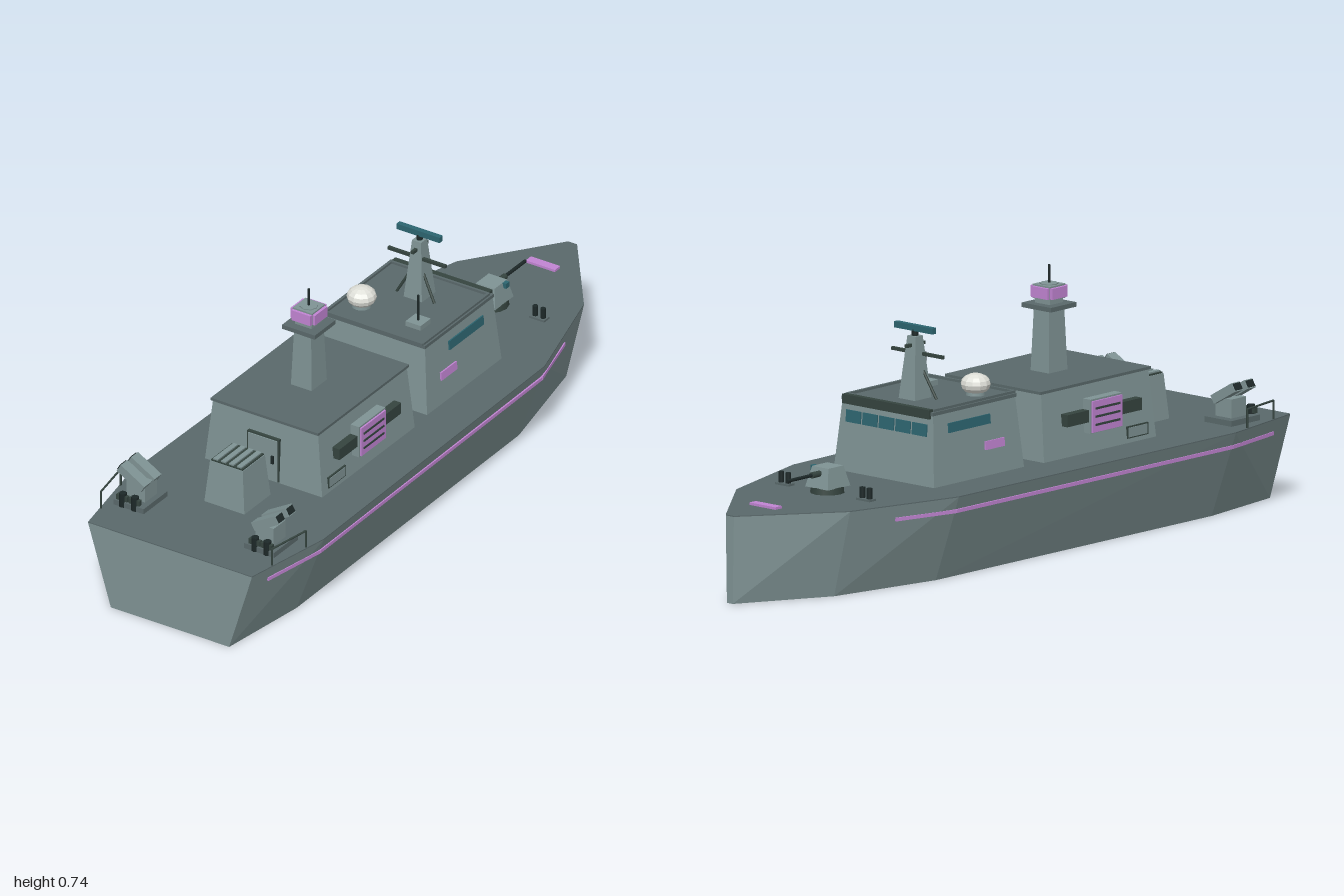
import * as THREE from 'three';
import { ConvexGeometry } from 'three/addons/geometries/ConvexGeometry.js';

const paint = (name, color) => Object.assign(new THREE.MeshStandardMaterial({ color }), { name });
const DECK = 0.248;

export function createModel() {
  const hullGrey = paint('hullGrey', 0x7f9394);
  const deckGrey = paint('deckGrey', 0x5a696b);
  const darkGrey = paint('darkGrey', 0x35443f);
  const black = paint('nearBlack', 0x1d2828);
  const violet = paint('violet', 0xc184d2);
  const teal = paint('teal', 0x2d6570);
  const white = paint('domeWhite', 0xdedfd8);
  const ship = new THREE.Group();
  ship.name = 'patrolShip';

  const add = (name, geo, mat, x = 0, y = 0, z = 0, parent = ship) => {
    const m = new THREE.Mesh(geo, mat);
    m.name = name;
    m.position.set(x, y, z);
    parent.add(m);
    return m;
  };
  const box = (name, mat, w, h, d, x, y, z, parent) =>
    add(name, new THREE.BoxGeometry(w, h, d), mat, x, y, z, parent);
  // Box standing on y, narrowing towards its top
  const taper = (name, mat, w, d, w2, d2, h, x, y, z, parent) => {
    const g = new THREE.BoxGeometry(w, h, d);
    const p = g.attributes.position;
    for (let i = 0; i < p.count; i++) {
      if (p.getY(i) > 0) p.setXYZ(i, p.getX(i) * w2 / w, h / 2, p.getZ(i) * d2 / d);
    }
    g.computeVertexNormals();
    return add(name, g, mat, x, y + h / 2, z, parent);
  };
  // Round bar between two points
  const rod = (name, mat, a, b, r, parent, sides = 8) => {
    const A = new THREE.Vector3(...a), B = new THREE.Vector3(...b);
    const m = add(name, new THREE.CylinderGeometry(r, r, A.distanceTo(B), sides), mat, 0, 0, 0, parent);
    m.position.lerpVectors(A, B, 0.5);
    m.quaternion.setFromUnitVectors(new THREE.Vector3(0, 1, 0), B.sub(A).normalize());
    return m;
  };

  // Hull: deck outline with a narrower copy at the keel
  const outline = [[0.015, -1], [0.21, -0.74], [0.306, -0.4], [0.321, 0.72], [0.27, 1]];
  const points = [];
  for (const [x, z] of outline) {
    for (const s of [1, -1]) {
      points.push(new THREE.Vector3(s * x, DECK - 0.003, z), new THREE.Vector3(s * x * 0.722, 0, z));
    }
  }
  add('hull', new ConvexGeometry(points), hullGrey);
  const edge = [...outline, ...outline.map(([x, z]) => [-x, z]).reverse()];
  const deckShape = new THREE.Shape(edge.map(([x, z]) => new THREE.Vector2(x, z)));
  const deckGeo = new THREE.ExtrudeGeometry(deckShape, { depth: 0.003, bevelEnabled: false });
  add('deck', deckGeo.rotateX(Math.PI / 2), deckGrey, 0, DECK, 0);

  // Rubbing strake on both sides
  const strake = [[0.268, 0.925], [0.304, 0.72], [0.291, -0.4], [0.24, -0.59]];
  for (const s of [1, -1]) {
    for (let i = 0; i < 3; i++) {
      const [x0, z0] = strake[i], [x1, z1] = strake[i + 1];
      const m = box('sideStripe', violet, 0.016, 0.01, Math.hypot(x1 - x0, z1 - z0),
        s * (x0 + x1) / 2, 0.205, (z0 + z1) / 2);
      m.rotation.y = Math.atan2(s * (x0 - x1), z0 - z1);
    }
  }
  box('bowMarking', violet, 0.096, 0.008, 0.026, 0, DECK + 0.003, -0.853);

  // Bridge
  taper('bridge', hullGrey, 0.37, 0.37, 0.334, 0.336, 0.2, 0, DECK, -0.183);
  box('bridgeRoof', deckGrey, 0.338, 0.01, 0.342, 0, 0.45, -0.183);
  box('bridgeVisor', darkGrey, 0.32, 0.026, 0.018, 0, 0.449, -0.352);
  for (const z of [-0.012, -0.34]) box('bridgeRoofRim', deckGrey, 0.326, 0.008, 0.008, 0, 0.458, z);
  for (const s of [1, -1]) {
    box('bridgeRoofRim', deckGrey, 0.008, 0.008, 0.33, s * 0.16, 0.458, -0.177);
    const glass = box('sideWindow', teal, 0.008, 0.027, 0.17, s * 0.1715, 0.403, -0.21);
    const plate = box('sideMarking', violet, 0.009, 0.024, 0.078, s * 0.178, 0.331, -0.113);
    glass.rotation.z = plate.rotation.z = s * 0.09;
  }
  for (let i = -2; i <= 2; i++) {
    box('bridgeWindow', teal, 0.054, 0.034, 0.008, i * 0.061, 0.402, -0.3545).rotation.x = 0.085;
  }

  // Fore mast with radar
  const foreMast = new THREE.Group();
  foreMast.name = 'foreMast';
  foreMast.position.set(0, 0.455, -0.24);
  ship.add(foreMast);
  taper('mastTower', hullGrey, 0.06, 0.068, 0.03, 0.03, 0.175, 0, 0, 0, foreMast);
  box('yard', darkGrey, 0.19, 0.009, 0.009, 0, 0.124, 0.012, foreMast);
  box('crossYard', darkGrey, 0.009, 0.009, 0.075, 0, 0.15, 0, foreMast);
  rod('radarShaft', black, [0, 0.175, 0], [0, 0.192, 0], 0.009, foreMast);
  box('radarBar', teal, 0.142, 0.017, 0.016, 0, 0.197, 0, foreMast);
  for (const s of [1, -1]) {
    rod('mastStrut', darkGrey, [s * 0.062, 0, 0.02], [s * 0.016, 0.085, 0.01], 0.004, foreMast);
  }

  // Dome and whip aerial on the bridge roof
  add('domeBase', new THREE.CylinderGeometry(0.026, 0.028, 0.016, 12), hullGrey, -0.098, 0.461, -0.1);
  const dome = new THREE.SphereGeometry(0.042, 12, 8).scale(1, 0.7, 1).toNonIndexed();
  dome.computeVertexNormals();
  add('radarDome', dome, white, -0.098, 0.486, -0.1);
  box('aerialBase', hullGrey, 0.05, 0.016, 0.05, 0.088, 0.462, -0.1);
  rod('whipAerial', black, [0.088, 0.465, -0.1], [0.088, 0.548, -0.1], 0.0035);

  // Aft deckhouse
  taper('deckhouse', hullGrey, 0.386, 0.46, 0.346, 0.44, 0.19, 0, DECK, 0.305);
  box('deckhouseRoof', deckGrey, 0.354, 0.008, 0.452, 0, 0.44, 0.305);
  for (const s of [1, -1]) {
    box('arrayHousing', hullGrey, 0.028, 0.096, 0.13, s * 0.196, 0.352, 0.312);
    box('arrayFace', violet, 0.006, 0.088, 0.122, s * 0.212, 0.351, 0.312);
    for (const y of [0.328, 0.351, 0.374]) {
      box('arrayBar', darkGrey, 0.003, 0.006, 0.1, s * 0.2155, y, 0.312);
    }
    for (const z of [0.203, 0.421]) box('sideVent', darkGrey, 0.024, 0.034, 0.088, s * 0.192, 0.353, z);
    box('lockerFrame', darkGrey, 0.008, 0.034, 0.086, s * 0.189, 0.277, 0.46);
    box('lockerDoor', hullGrey, 0.008, 0.027, 0.078, s * 0.1905, 0.277, 0.46);
  }
  box('aftDoorFrame', darkGrey, 0.104, 0.134, 0.012, 0, 0.318, 0.532);
  box('aftDoor', hullGrey, 0.096, 0.128, 0.012, 0, 0.317, 0.535);
  box('doorHandle', black, 0.008, 0.024, 0.006, 0.034, 0.32, 0.543);

  // Main mast with four sensor panels
  const mast = new THREE.Group();
  mast.name = 'mainMast';
  mast.position.set(0, 0.443, 0.31);
  ship.add(mast);
  taper('mastTower', hullGrey, 0.068, 0.076, 0.056, 0.062, 0.18, 0, 0, 0, mast);
  box('mastPlatform', deckGrey, 0.108, 0.013, 0.104, 0, 0.184, 0, mast);
  box('sensorNeck', hullGrey, 0.054, 0.018, 0.054, 0, 0.199, 0, mast);
  box('sensorBlock', hullGrey, 0.064, 0.04, 0.064, 0, 0.223, 0, mast);
  for (let i = 0; i < 4; i++) {
    const a = i * Math.PI / 2;
    const m = box('sensorPanel', violet, 0.062, 0.031, 0.009, Math.sin(a) * 0.036, 0.223, Math.cos(a) * 0.036, mast);
    m.rotation.y = a;
  }
  rod('sensorCap', hullGrey, [0, 0.24, 0], [0, 0.246, 0], 0.026, mast);
  rod('mastAerial', black, [0, 0.24, 0], [0, 0.297, 0], 0.0035, mast);

  // Exhaust housing with slatted top
  taper('exhaustHousing', hullGrey, 0.132, 0.13, 0.108, 0.11, 0.128, 0, DECK, 0.665);
  box('exhaustGrille', darkGrey, 0.104, 0.004, 0.106, 0, 0.378, 0.665);
  for (let i = 0; i < 4; i++) box('exhaustSlat', hullGrey, 0.015, 0.008, 0.1, -0.039 + i * 0.026, 0.38, 0.665);

  // Bow gun
  add('gunRing', new THREE.CylinderGeometry(0.046, 0.048, 0.018, 12), darkGrey, 0, DECK + 0.009, -0.6);
  taper('gunTurret', hullGrey, 0.084, 0.092, 0.06, 0.062, 0.057, 0, 0.265, -0.598);
  box('gunSight', teal, 0.012, 0.016, 0.016, 0.036, 0.314, -0.615);
  rod('gunSleeve', darkGrey, [0, 0.305, -0.62], [0, 0.305, -0.665], 0.009);
  rod('gunBarrel', black, [0, 0.305, -0.65], [0, 0.305, -0.765], 0.005);

  for (const s of [1, -1]) {
    // Bow bollards
    box('bollardPlate', deckGrey, 0.05, 0.006, 0.026, s * 0.15, DECK + 0.003, -0.608);
    for (const dx of [-0.013, 0.013]) {
      rod('bollard', black, [s * 0.15 + dx, DECK, -0.608], [s * 0.15 + dx, DECK + 0.036, -0.608], 0.008);
    }

    // Stern launcher, aimed outboard
    box('launcherPlate', deckGrey, 0.1, 0.016, 0.118, s * 0.215, DECK + 0.008, 0.823);
    box('launcherPedestal', hullGrey, 0.06, 0.054, 0.06, s * 0.212, 0.29, 0.82);
    const tubes = new THREE.Group();
    tubes.name = 'launcherTubes';
    tubes.position.set(s * 0.221, 0.333, 0.82);
    tubes.rotation.z = s * 0.53;
    ship.add(tubes);
    for (const dz of [-0.026, 0.026]) {
      box('launcherTube', hullGrey, 0.09, 0.026, 0.034, 0, 0, dz, tubes);
      box('tubeMouth', black, 0.006, 0.02, 0.028, s * 0.045, 0, dz, tubes);
    }
    for (const x of [0.198, 0.238]) {
      rod('sternBollard', black, [s * x, DECK, 0.875], [s * x, 0.29, 0.875], 0.011);
      box('bollardBar', darkGrey, 0.036, 0.016, 0.012, s * x, 0.275, 0.875);
    }

    // Handrail along the quarter
    const a = [s * 0.305, 0.3, 0.785], b = [s * 0.282, 0.3, 0.918];
    rod('rail', darkGrey, a, b, 0.003);
    for (const p of [a, b]) rod('railPost', darkGrey, [p[0], DECK, p[2]], p, 0.003);
  }
  return ship;
}
